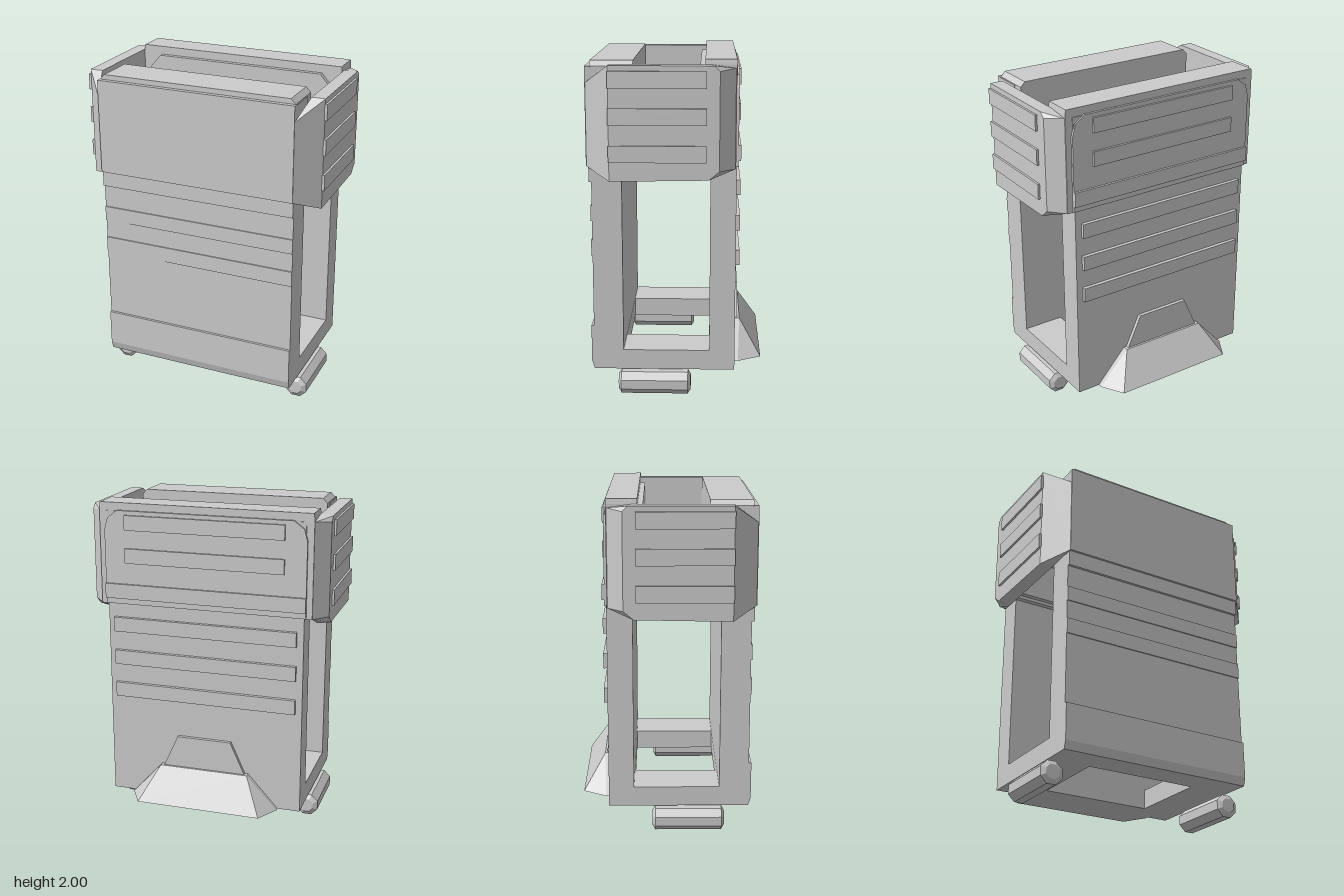
import * as THREE from 'three';
import { ConvexGeometry } from 'three/addons/geometries/ConvexGeometry.js';

export function createModel() {
  const model = new THREE.Group();
  const material = new THREE.MeshStandardMaterial({ color: 0xcccccc, flatShading: true });

  const add = (name, geometry) => {
    const mesh = new THREE.Mesh(geometry, material);
    mesh.name = name;
    model.add(mesh);
    return mesh;
  };
  // Box given by its limits on each axis
  const box = (name, x0, x1, y0, y1, z0, z1) => {
    const mesh = add(name, new THREE.BoxGeometry(x1 - x0, y1 - y0, z1 - z0));
    mesh.position.set((x0 + x1) / 2, (y0 + y1) / 2, (z0 + z1) / 2);
    return mesh;
  };
  // Symmetric plate: right half outline [x, y] from bottom to top, mirrored, extruded in z
  const plate = (name, half, z0, z1) => {
    const outline = [...half, ...half.slice().reverse().map(([x, y]) => [-x, y])];
    const shape = new THREE.Shape(outline.map(([x, y]) => new THREE.Vector2(x, y)));
    const geometry = new THREE.ExtrudeGeometry(shape, { depth: z1 - z0, bevelEnabled: false });
    geometry.translate(0, 0, z0);
    return add(name, geometry);
  };
  const hull = (name, points) =>
    add(name, new ConvexGeometry(points.map((p) => new THREE.Vector3(...p))));

  // Main walls, open at both sides and at the top
  box('frontWall', -0.61, 0.61, 0.15, 1.95, 0.31, 0.485);
  box('backWall', -0.61, 0.61, 0.15, 1.95, -0.35, -0.2);

  // Floor frame with a rectangular opening
  const floor = new THREE.Shape([[-0.61, -0.31], [0.61, -0.31], [0.61, 0.2], [-0.61, 0.2]]
    .map((p) => new THREE.Vector2(...p)));
  floor.holes.push(new THREE.Path([[-0.35, -0.309], [-0.35, 0.199], [0.35, 0.199], [0.35, -0.309]]
    .map((p) => new THREE.Vector2(...p))));
  const floorGeometry = new THREE.ExtrudeGeometry(floor, { depth: 0.12, bevelEnabled: false });
  floorGeometry.rotateX(-Math.PI / 2).translate(0, 0.15, 0);
  add('floorFrame', floorGeometry);

  // Raised front panel and bands
  box('frontPanel', -0.61, 0.61, 1.385, 1.955, 0.48, 0.513);
  for (const [y0, y1, z] of [[1.29, 1.385, 0.5], [1.06, 1.15, 0.492], [0.85, 0.945, 0.492]]) {
    box('frontBand', -0.61, 0.61, y0, y1, 0.48, z);
  }
  hull('frontKickPanel', [-0.61, 0.61].flatMap((x) => [
    [x, 0.15, 0.47], [x, 0.42, 0.47], [x, 0.42, 0.5], [x, 0.2, 0.5], [x, 0.15, 0.485],
  ]));

  // Thick upper rims with cut corners
  plate('frontRim', [[0.605, 1.4], [0.605, 1.955], [0.577, 1.985]], 0.24, 0.485);
  plate('backRim', [[0.655, 1.38], [0.655, 1.97], [0.65, 2.0]], -0.345, -0.168);
  plate('backInnerPanel', [[0.6, 1.4], [0.6, 1.87], [0.53, 1.95]], -0.17, -0.138);

  // Back panel and its ribs
  plate('backPanel', [[0.62, 1.385], [0.62, 1.84], [0.6, 1.91], [0.54, 1.955]], -0.36, -0.34);
  box('backBelt', -0.62, 0.62, 1.42, 1.51, -0.374, -0.35);
  for (const y of [1.84, 1.64]) box('upperBackRib', -0.49, 0.49, y, y + 0.09, -0.373, -0.35);
  for (const y of [1.21, 1.0, 0.79]) box('lowerBackRib', -0.57, 0.57, y, y + 0.09, -0.373, -0.34);

  // Flared foot plate and the tab above it
  hull('footWedge', [-1, 1].flatMap((s) => [
    [s * 0.47, 0.15, -0.345], [s * 0.47, 0.15, -0.375], [s * 0.39, 0.15, -0.515],
    [s * 0.28, 0.36, -0.345], [s * 0.28, 0.36, -0.385],
  ]));
  plate('footTab', [[0.27, 0.34], [0.17, 0.56]], -0.372, -0.345);

  // Roller profile, radius against length
  const rollerProfile = [[0, -0.215], [0.045, -0.215], [0.0735, -0.198], [0.0735, 0.198],
    [0.045, 0.215], [0, 0.215]].map((p) => new THREE.Vector2(...p));

  for (const s of [-1, 1]) {
    const side = s > 0 ? 'left' : 'right';
    // Side pod: flat plate with a chamfered back edge and a tapered front corner
    hull(side + 'PodPlate', [
      ...[1.32, 1.97].flatMap((y) => [
        [s * 0.655, y, 0.37], [s * 0.735, y, 0.37], [s * 0.655, y, -0.2],
      ]),
      [s * 0.735, 1.33, -0.19], [s * 0.735, 1.38, -0.25],
      [s * 0.735, 1.97, -0.22], [s * 0.735, 1.94, -0.25],
      [s * 0.655, 1.38, -0.34], [s * 0.655, 1.95, -0.34],
    ]);
    hull(side + 'PodCorner', [
      [s * 0.655, 1.32, 0.37], [s * 0.735, 1.32, 0.37],
      [s * 0.655, 1.97, 0.37], [s * 0.735, 1.97, 0.37],
      [s * 0.608, 1.385, 0.512], [s * 0.608, 1.86, 0.512],
    ]);
    for (const y of [1.43, 1.64, 1.845]) {
      const [x0, x1] = [s * 0.725, s * 0.748].sort((a, b) => a - b);
      box(side + 'PodRib', x0, x1, y, y + 0.095, -0.178, 0.373);
    }
    // Eight-sided roller under the floor
    const geometry = new THREE.LatheGeometry(rollerProfile, 8);
    geometry.rotateY(Math.PI / 8).rotateX(Math.PI / 2);
    add(side + 'Roller', geometry).position.set(s * 0.597, 0.068, 0.125);
  }
  return model;
}
